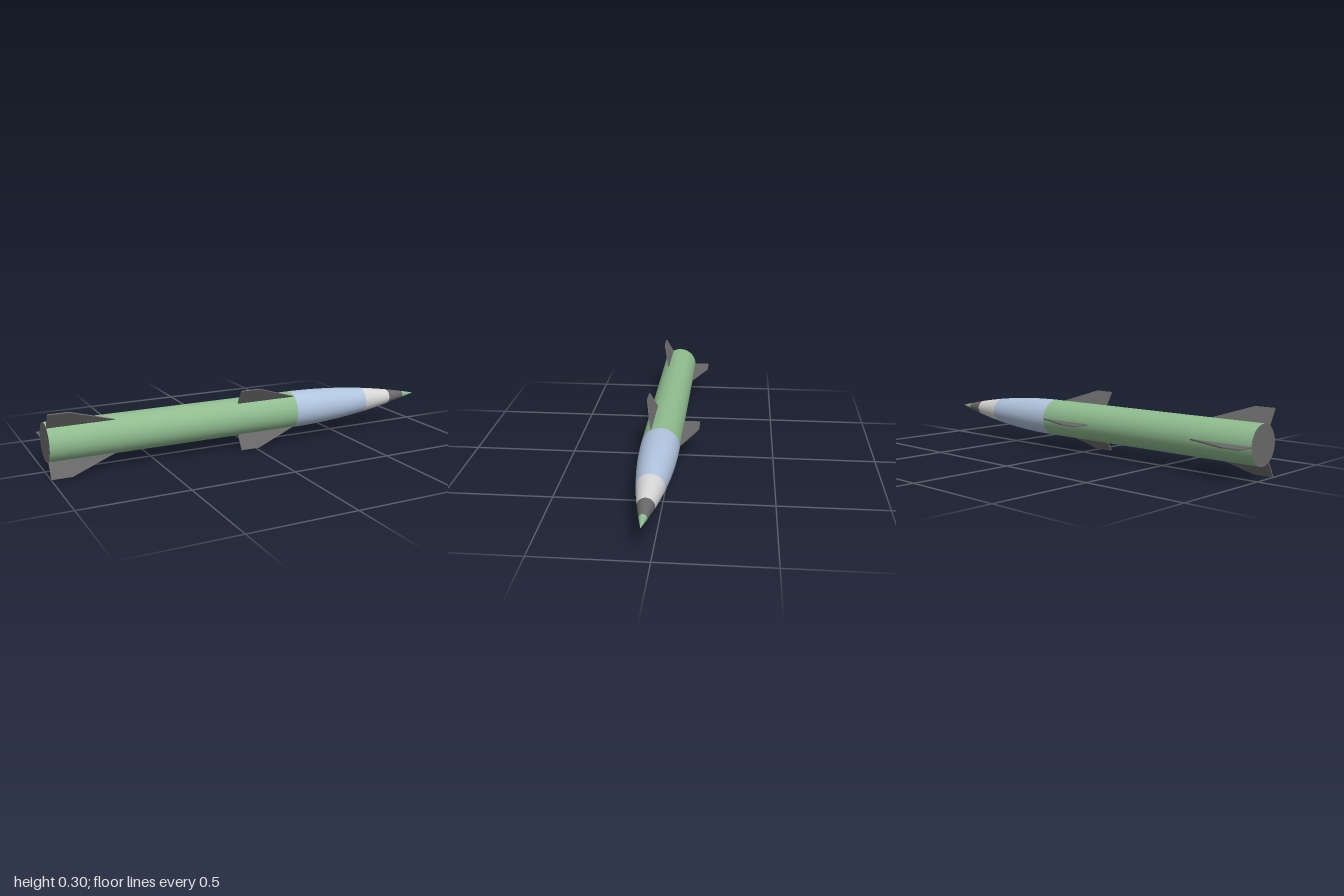
import * as THREE from 'three';

const R = 0.091;                 // body radius
const AXIS_Y = 0.15, AXIS_Z = 0.038;
const NOSE_X = 0.23;             // where the nose starts to taper

const paint = (name, color) => {
  const m = new THREE.MeshStandardMaterial({ color });
  m.name = name;
  return m;
};

// Parabolic nose taper
const radiusAt = (x) => {
  const t = Math.max(0, (x - NOSE_X) / (1 - NOSE_X));
  return R * (1 - t * t);
};

export function createModel() {
  const green = paint('seaGreen', 0x8fbc8f);
  const blue = paint('paleBlue', 0xb0c4de);
  const light = paint('lightGrey', 0xd6d6d6);
  const grey = paint('dimGrey', 0x696969);

  const model = new THREE.Group();
  model.name = 'rocket';
  const rocket = new THREE.Group();
  rocket.name = 'rocketAssembly';
  rocket.position.set(0, AXIS_Y, AXIS_Z);
  model.add(rocket);

  const add = (name, geometry, material) => {
    const mesh = new THREE.Mesh(geometry, material);
    mesh.name = name;
    rocket.add(mesh);
    return mesh;
  };

  // Turned hull sections, tail to tip
  const section = (name, x0, x1, steps, material) => {
    const points = [];
    for (let i = 0; i <= steps; i++) {
      const x = x0 + (x1 - x0) * i / steps;
      points.push(new THREE.Vector2(radiusAt(x), x));
    }
    add(name, new THREE.LatheGeometry(points, 40).rotateZ(-Math.PI / 2), material);
  };
  section('body', -1, NOSE_X, 1, green);
  section('noseSection', NOSE_X, 0.655, 10, blue);
  section('noseBand', 0.655, 0.82, 5, light);
  section('noseCone', 0.82, 0.92, 4, grey);
  section('noseTip', 0.92, 1, 4, green);

  // Flat tail disc
  const tail = add('tailDisc', new THREE.CircleGeometry(R, 40).rotateY(-Math.PI / 2), grey);
  tail.position.x = -1;

  // Swept fins: three at the tail, three behind the nose
  const thickness = 0.006;
  const outline = new THREE.Shape([
    [0, 0.08], [0.337, 0.08], [0.307, R], [0.095, 0.17], [0, 0.17],
  ].map(([x, y]) => new THREE.Vector2(x, y)));
  const finGeometry = new THREE.ExtrudeGeometry(outline, { depth: thickness, bevelEnabled: false })
    .translate(0, 0, -thickness / 2);
  for (const [set, x] of [['tailFin', -1], ['forwardFin', -0.08]]) {
    for (let i = 0; i < 3; i++) {
      const fin = add(`${set}${i + 1}`, finGeometry, grey);
      fin.position.x = x;
      fin.rotation.x = -Math.PI / 2 + i * Math.PI * 2 / 3;
    }
  }
  return model;
}
